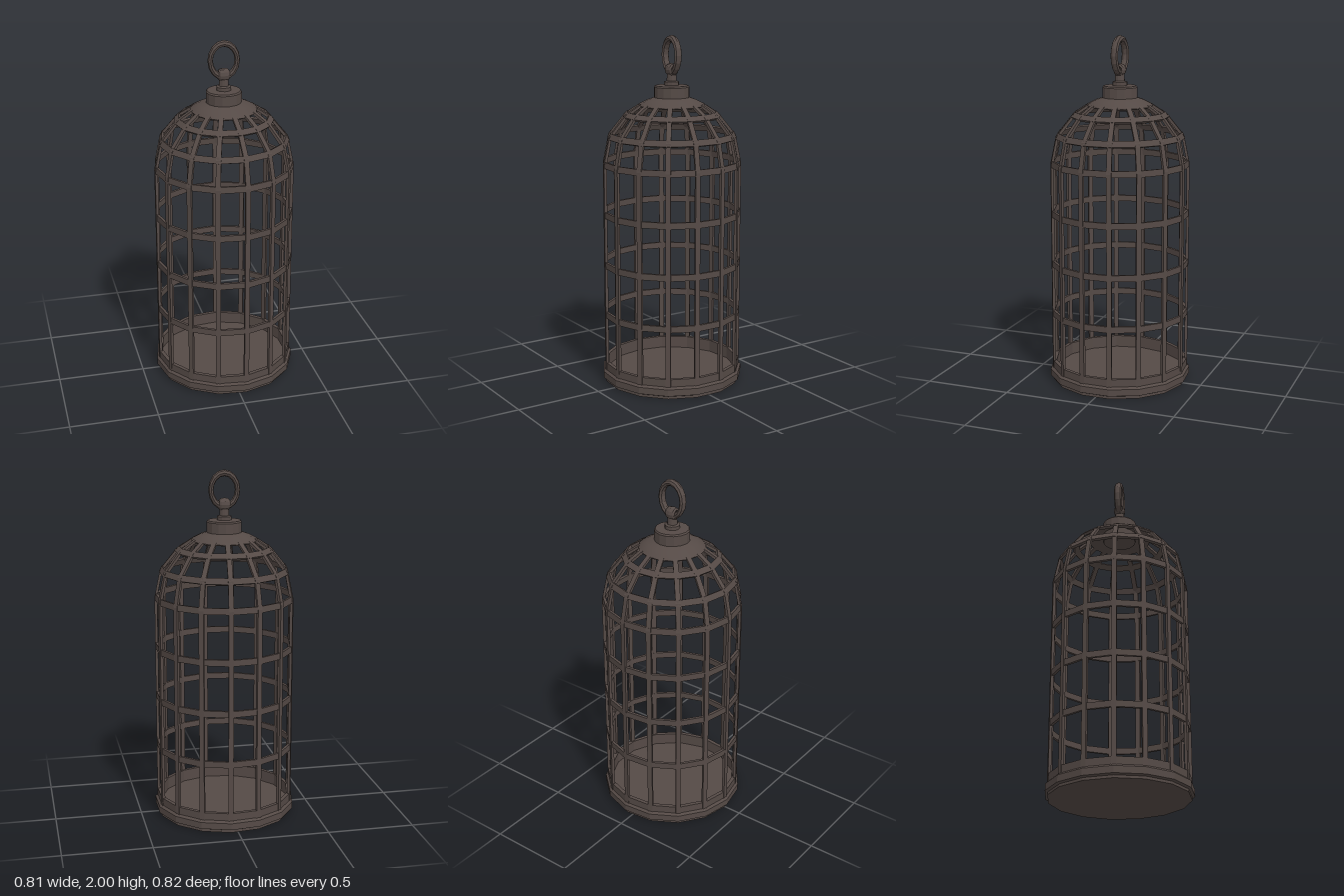
import * as THREE from 'three';

const SIDES = 15;
const BAR_W = 0.028, THICK = 0.016, BAND_H = 0.036;

export function createModel() {
  const model = new THREE.Group();
  const flat = new THREE.MeshStandardMaterial({ color: 0x554a46, flatShading: true });
  const smooth = new THREE.MeshStandardMaterial({ color: 0x554a46 });

  const add = (name, geometry, parent = model, material = flat) => {
    const mesh = new THREE.Mesh(geometry, material);
    mesh.name = name;
    parent.add(mesh);
    return mesh;
  };
  // Polygonal lathe with a corner on the -x axis; profile runs counter-clockwise in (r, y)
  const lathe = (pts, sides = SIDES) => new THREE.LatheGeometry(
    pts.map(([r, y]) => new THREE.Vector2(r, y)), sides, -Math.PI / 2);

  // Base tray with a raised rim and a sunken floor
  add('baseTray', lathe([
    [0, 0], [0.395, 0], [0.395, 0.015], [0.41, 0.022], [0.41, 0.06], [0.397, 0.072],
    [0.397, 0.115], [0.375, 0.115], [0.375, 0.045], [0, 0.045],
  ]));

  // Outline followed by every upright: straight wall, then the dome
  const outline = [[0.397, 0.06], [0.397, 1.28], [0.364, 1.44], [0.268, 1.56], [0.18, 1.618]];
  const inner = [[0.381, 0.06], [0.381, 1.278], [0.351, 1.43], [0.259, 1.547], [0.175, 1.604]];
  const barShape = new THREE.Shape([...outline, ...inner.reverse()].map(([x, y]) => new THREE.Vector2(x, y)));
  const barGeo = new THREE.ExtrudeGeometry(barShape, { depth: BAR_W, bevelEnabled: false });
  barGeo.translate(0, 0, -BAR_W / 2);
  const bars = new THREE.Group();
  bars.name = 'bars';
  model.add(bars);
  for (let i = 0; i < SIDES; i++) {
    add('bar', barGeo, bars).rotation.y = Math.PI + (i / SIDES) * Math.PI * 2;
  }

  // Horizontal bands, leaning inwards over the dome: radius, height, lean
  const bands = new THREE.Group();
  bands.name = 'bands';
  model.add(bands);
  const bandRows = [
    [0.389, 0.405, 0], [0.389, 0.7, 0], [0.389, 0.993, 0],
    [0.388, 1.28, 0.1], [0.356, 1.437, 0.42], [0.263, 1.554, 0.8],
  ];
  for (const [r, y, lean] of bandRows) {
    const c = Math.cos(lean), s = Math.sin(lean);
    const corners = [[-1, -1], [1, -1], [1, 1], [-1, 1], [-1, -1]].map(([a, b]) => {
      const u = a * THICK / 2, v = b * BAND_H / 2;
      return [r + u * c - v * s, y + u * s + v * c];
    });
    add('band', lathe(corners), bands);
  }

  // Shallow cap closing the dome, and the collar through it
  add('cap', lathe([
    [0.09, 1.638], [0.182, 1.6], [0.19, 1.612], [0.14, 1.638], [0.09, 1.655],
  ]), model, smooth);
  add('collar', lathe([
    [0, 1.59], [0.095, 1.59], [0.1, 1.6], [0.1, 1.71], [0.094, 1.718], [0, 1.722],
  ]));

  // Hanger post with a foot and an eye on top
  add('hangerPost', lathe([
    [0, 1.715], [0.042, 1.715], [0.042, 1.74], [0.028, 1.745], [0.026, 1.79], [0, 1.79],
  ], 12));
  const eye = add('hangerEye', new THREE.TorusGeometry(0.023, 0.011, 8, 12));
  eye.rotation.y = Math.PI / 2;
  eye.scale.set(1, 1.1, 2.8);
  eye.position.y = 1.806;

  // Oval hanging ring, turned slightly
  const ring = add('hangingRing', new THREE.TorusGeometry(0.075, 0.015, 8, 16));
  ring.scale.set(1, 1.25, 1.5);
  ring.rotation.y = -0.07;
  ring.position.y = 1.8875;

  return model;
}
